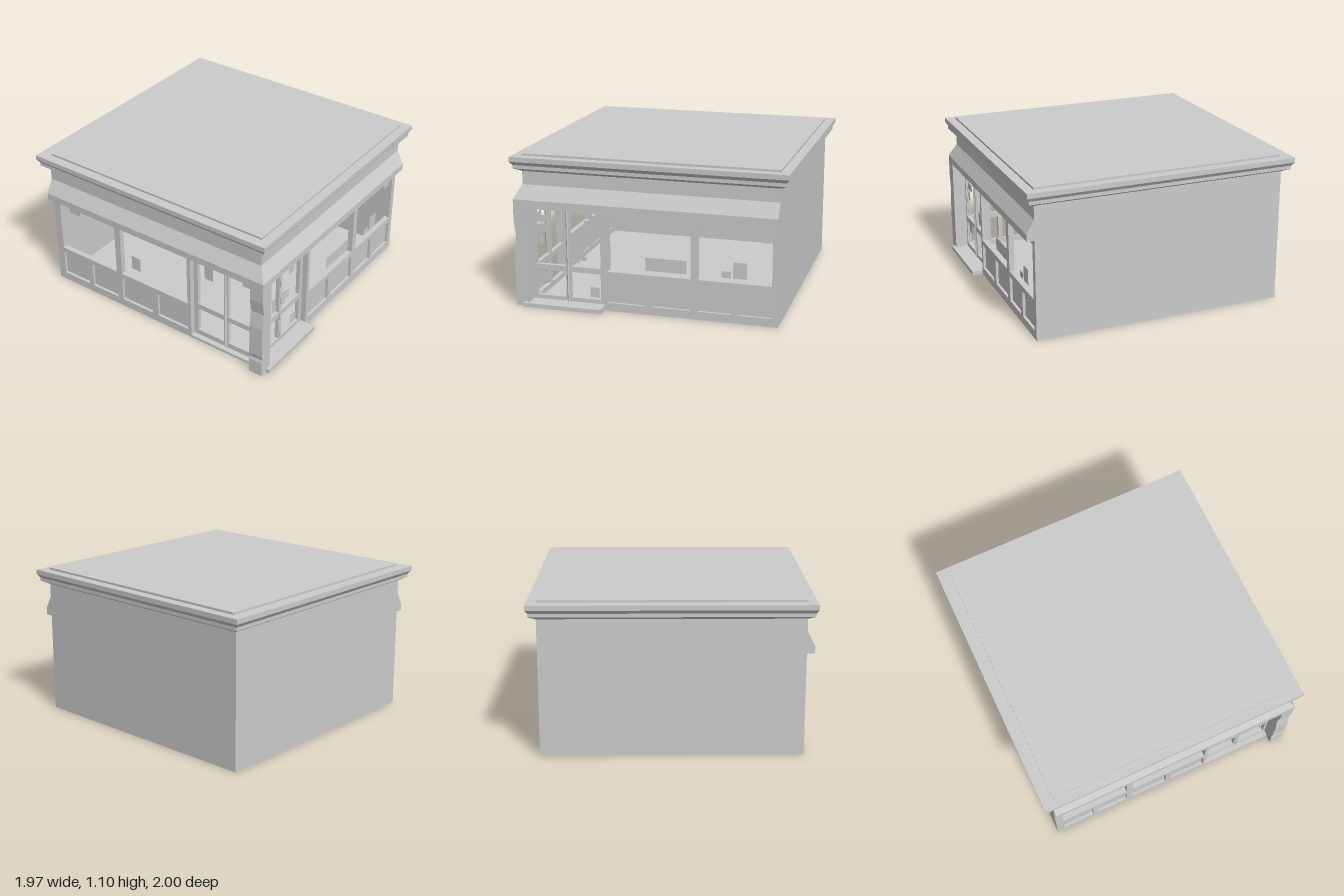
import * as THREE from 'three';

const material = new THREE.MeshStandardMaterial({ color: 0xcccccc, flatShading: true, side: THREE.DoubleSide });
const X = 0.915, FRONT = 0.92, BACK = -0.93;

function add(parent, name, geometry, x = 0, y = 0, z = 0) {
  const mesh = new THREE.Mesh(geometry, material);
  mesh.name = name;
  mesh.position.set(x, y, z);
  parent.add(mesh);
  return mesh;
}

// Box given by its lower and upper corners
function block(parent, name, [x0, y0, z0], [x1, y1, z1]) {
  return add(parent, name, new THREE.BoxGeometry(x1 - x0, y1 - y0, z1 - z0),
    (x0 + x1) / 2, (y0 + y1) / 2, (z0 + z1) / 2);
}

// Closed stack of rectangles, each row being [y, xMin, xMax, zMin, zMax]
function loft(rows) {
  const pos = [], index = [];
  for (const [y, x0, x1, z0, z1] of rows)
    pos.push(x0, y, z1, x1, y, z1, x1, y, z0, x0, y, z0);
  for (let r = 0; r < rows.length - 1; r++)
    for (let i = 0; i < 4; i++) {
      const a = r * 4 + i, b = r * 4 + (i + 1) % 4;
      index.push(a, b, b + 4, a, b + 4, a + 4);
    }
  const t = (rows.length - 1) * 4;
  index.push(0, 2, 1, 0, 3, 2, t, t + 1, t + 2, t, t + 2, t + 3);
  const g = new THREE.BufferGeometry();
  g.setAttribute('position', new THREE.Float32BufferAttribute(pos, 3));
  g.setIndex(index);
  const flat = g.toNonIndexed();
  flat.computeVertexNormals();
  return flat;
}

// Wall panel with rectangular openings; rectangles are [x0, x1, y0, y1]
function frame([x0, x1, y0, y1], openings, depth) {
  const trace = (path, [a, b, c, d]) => {
    path.moveTo(a, c); path.lineTo(b, c); path.lineTo(b, d); path.lineTo(a, d); path.closePath();
    return path;
  };
  const shape = trace(new THREE.Shape(), [x0, x1, y0, y1]);
  shape.holes = openings.map(o => trace(new THREE.Path(), o));
  return new THREE.ExtrudeGeometry(shape, { depth, bevelEnabled: false });
}

// One shopfront; its outer face lies on z = 0, and m = -1 mirrors it
function shopfront(name, m, notices) {
  const g = new THREE.Group();
  g.name = name;
  const flip = ([a, b, c, d]) => m > 0 ? [a, b, c, d] : [-b, -a, c, d];
  const lower = [[-0.3, -0.03], [0.02, 0.3], [0.35, 0.59], [0.63, 0.87]].map(([a, b]) => flip([a, b, 0.06, 0.25]));
  const windows = [[-0.3, 0.3, 0.29, 0.69], [0.35, 0.87, 0.29, 0.69]].map(flip);
  add(g, 'windowFrame', frame(flip([-0.33, X, 0, 0.73]), [...lower, ...windows], 0.04), 0, 0, -0.04);
  for (const [a, b, c, d] of lower)
    block(g, 'lowerPanel', [a, c, -0.03], [b, d, -0.02]);

  // Pair of doors set back behind the windows
  const doorOpenings = [[-0.85, -0.625], [-0.59, -0.365]].flatMap(([a, b]) =>
    [flip([a, b, 0.06, 0.25]), flip([a, b, 0.29, 0.69])]);
  add(g, 'doors', frame(flip([-0.87, -0.33, 0, 0.73]), doorOpenings, 0.03), 0, 0, -0.07);
  const [j0, j1] = flip([-0.33, -0.3, 0, 0]);
  block(g, 'doorJamb', [j0, 0, -0.07], [j1, 0.73, -0.04]);
  const seam = new THREE.CylinderGeometry(0.008, 0.008, 0.69, 4);
  add(g, 'doorMeetingBar', seam, -0.608 * m, 0.375, -0.036);

  // Papers fixed behind the openings
  for (const n of notices) {
    const [a, b, c, d] = flip(n), z = n[1] < -0.33 ? -0.055 : -0.025;
    add(g, 'notice', new THREE.PlaneGeometry(b - a, d - c), (a + b) / 2, (c + d) / 2, z);
  }
  return g;
}

export function createModel() {
  const model = new THREE.Group();
  model.name = 'cornerShop';

  // Floor and plain walls
  block(model, 'floor', [-X, 0, BACK], [X, 0.02, FRONT]);
  block(model, 'backWall', [-X, 0, BACK], [X, 0.74, BACK + 0.03]);
  block(model, 'leftWall', [X - 0.03, 0, BACK], [X, 0.74, FRONT]);

  // Upper wall with a sloping fascia over both shopfronts
  const fascia = [[0.73, 0.055], [0.78, 0.055], [0.88, 0], [0.98, 0]];
  add(model, 'upperWall', loft(fascia.map(([y, o]) => [y, -X - o, X, BACK, FRONT + o])));

  // Stepped cornice all round, and the roof slab
  const cornice = [[0.975, 0], [1.0, 0.05], [1.025, 0.05], [1.05, 0.068], [1.085, 0.068]];
  add(model, 'cornice', loft(cornice.map(([y, o]) => [y, -X - o, X + o, BACK - o, FRONT + o])));
  block(model, 'roofSlab', [-X, 1.08, -0.91], [X, 1.1, FRONT]);

  // Corner pillar with worn edge
  const wear = [[0, 0], [0.11, 0], [0.135, 0.008], [0.16, 0], [0.4, 0], [0.52, 0.015], [0.62, 0], [0.74, 0]];
  add(model, 'cornerPillar', loft(wear.map(([y, w]) => [y, -0.97 + w, -0.87, 0.87, 0.975])));

  const front = shopfront('frontShopfront', 1, [
    [-0.84, -0.735, 0.6, 0.65], [-0.84, -0.735, 0.525, 0.58], [-0.83, -0.79, 0.44, 0.5],
    [-0.69, -0.65, 0.315, 0.42], [-0.84, -0.77, 0.16, 0.235], [-0.485, -0.415, 0.525, 0.63],
    [-0.57, -0.525, 0.315, 0.42], [-0.52, -0.475, 0.375, 0.405], [-0.52, -0.475, 0.335, 0.365],
    [-0.45, -0.38, 0.07, 0.145], [-0.03, 0.265, 0.315, 0.41], [0.515, 0.58, 0.315, 0.36],
    [0.595, 0.69, 0.315, 0.43], [0.795, 0.86, 0.585, 0.66],
  ]);
  front.position.z = FRONT;
  const side = shopfront('sideShopfront', -1, [
    [0.7, 0.8, 0.62, 0.66], [0.14, 0.22, 0.36, 0.47],
    [-0.84, -0.735, 0.6, 0.65], [-0.485, -0.415, 0.525, 0.63],
  ]);
  side.rotation.y = -Math.PI / 2;
  side.position.x = -X;
  model.add(front, side);

  block(model, 'doorStep', [-X, 0, 0.85], [-0.33, 0.03, 1.0]);
  return model;
}
